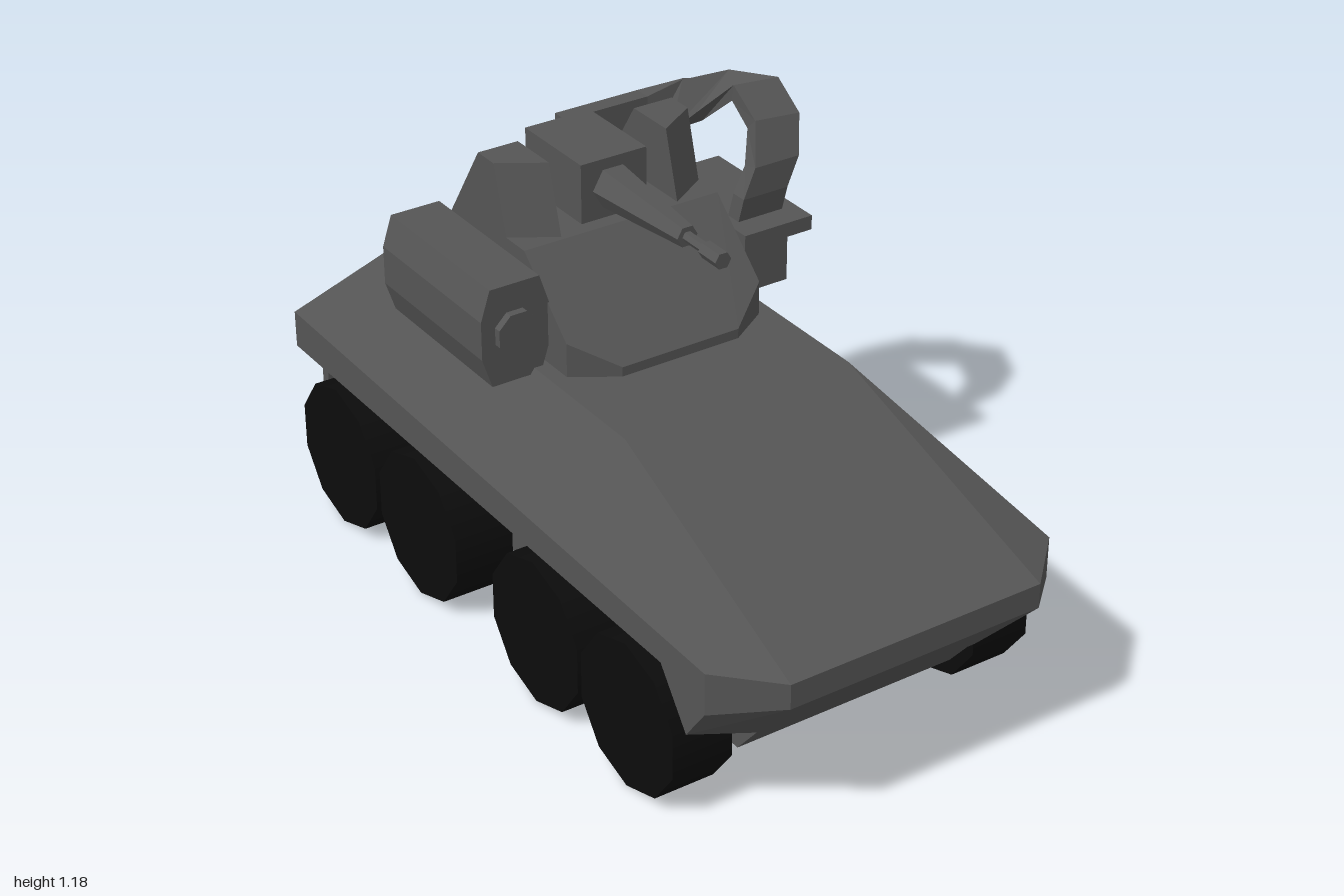
import * as THREE from 'three';
import { ConvexGeometry } from 'three/addons/geometries/ConvexGeometry.js';

const armour = new THREE.MeshStandardMaterial({ color: 0x555555, flatShading: true });
const rubber = new THREE.MeshStandardMaterial({ color: 0x0c0c0c });

export function createModel() {
  const model = new THREE.Group();
  // body parts share a centre line slightly off x = 0
  const body = new THREE.Group();
  body.name = 'body';
  body.position.x = -0.015;
  model.add(body);

  function add(parent, name, geometry, x = 0, y = 0, z = 0, material = armour) {
    const mesh = new THREE.Mesh(geometry, material);
    mesh.name = name;
    mesh.position.set(x, y, z);
    parent.add(mesh);
    return mesh;
  }
  const convex = (points) => new ConvexGeometry(points.map((p) => new THREE.Vector3(...p)));
  // convex block mirrored across the centre line
  const mirrored = (points) => convex(points.flatMap(([x, y, z]) => [[x, y, z], [-x, y, z]]));
  // box from its limits
  function box(parent, name, x0, x1, y0, y1, z0, z1) {
    return add(parent, name, new THREE.BoxGeometry(x1 - x0, y1 - y0, z1 - z0),
      (x0 + x1) / 2, (y0 + y1) / 2, (z0 + z1) / 2);
  }

  // hull
  add(body, 'upperHull', mirrored([
    [0.315, 0.705, 0.31], [0.315, 0.705, -0.79],
    [0.48, 0.485, -1], [0.48, 0.385, -1],
    [0.48, 0.455, 0.87], [0.48, 0.385, 0.87],
    [0.345, 0.45, 1], [0.345, 0.385, 1],
  ]));
  add(body, 'lowerNose', mirrored([
    [0.345, 0.385, 1], [0.48, 0.385, 0.87], [0.48, 0.345, 0.87],
    [0.48, 0.25, 0.8], [0.305, 0.205, 0.835], [0.48, 0.385, 0.7],
  ]));
  add(body, 'lowerHull', mirrored([
    [0.305, 0.385, 0.98], [0.305, 0.11, 0.75],
    [0.305, 0.11, -0.75], [0.305, 0.29, -0.91], [0.305, 0.385, -0.91],
  ]));
  add(body, 'rearLip', mirrored([
    [0.45, 0.385, -0.89], [0.45, 0.29, -0.89],
    [0.45, 0.385, -0.92], [0.45, 0.29, -0.92],
    [0.4, 0.385, -0.965], [0.4, 0.29, -0.965],
  ]));
  add(body, 'axleBracket', mirrored([
    [0.345, 0.385, 0.04], [0.345, 0.135, 0], [0.345, 0.135, -0.135], [0.345, 0.385, -0.18],
  ]));

  // wheels: ten-sided, with a flat at the bottom
  const wheelShape = new THREE.CylinderGeometry(0.197, 0.197, 0.16, 10);
  wheelShape.rotateY(Math.PI / 2).rotateZ(Math.PI / 2);
  for (const side of [-1, 1]) {
    for (const z of [0.597, 0.206, -0.343, -0.742]) {
      add(body, 'wheel', wheelShape, side * 0.425, 0.1875, z, rubber);
    }
  }

  // turret
  add(body, 'turret', mirrored([
    [0.165, 0.7, 0.07], [0.165, 0.73, 0.07],
    [0.275, 0.7, 0], [0.275, 0.794, 0],
    [0.275, 0.96, -0.18], [0.275, 0.96, -0.495],
    [0.275, 0.8, -0.6], [0.275, 0.7, -0.6],
  ]));
  for (const s of [-1, 1]) {
    add(body, 'turretFin', convex([
      [s * 0.275, 0.955, -0.26], [s * 0.165, 0.955, -0.19],
      [s * 0.275, 1.135, -0.31], [s * 0.165, 1.135, -0.24],
      [s * 0.275, 1.135, -0.38], [s * 0.165, 1.135, -0.38],
      [s * 0.275, 0.955, -0.498], [s * 0.165, 0.955, -0.498],
    ]));
  }

  // gun
  box(model, 'gunHousing', -0.105, 0.08, 0.955, 1.115, -0.47, -0.22);
  function barrel(name, rBack, rFront, z0, z1) {
    const shape = new THREE.CylinderGeometry(rFront, rBack, z1 - z0, 6);
    shape.rotateY(Math.PI / 2).rotateX(Math.PI / 2);
    add(model, name, shape, -0.015, 1.037, (z0 + z1) / 2);
  }
  barrel('barrelSleeve', 0.057, 0.028, -0.22, 0.095);
  barrel('barrel', 0.014, 0.014, 0.09, 0.19);
  barrel('muzzle', 0.022, 0.022, 0.17, 0.24);

  // launcher pod on the right
  const outline = [[0.067, 0.128], [0.0925, 0.05], [0.0925, -0.05], [0.067, -0.128]];
  const podPoints = [-0.54, -0.08].flatMap((z) =>
    outline.flatMap(([x, y]) => [[x, y, z], [-x, y, z]]));
  add(model, 'launcherPod', convex(podPoints), -0.378, 0.818, 0);
  const cap = new THREE.CylinderGeometry(0.058, 0.058, 0.04, 8);
  cap.rotateY(Math.PI / 8).rotateX(Math.PI / 2);
  add(model, 'launcherCap', cap, -0.38, 0.822, -0.08);

  // ammunition box on the left
  box(model, 'ammoBox', 0.287, 0.437, 0.69, 0.855, -0.42, -0.13);
  box(model, 'ammoLid', 0.263, 0.462, 0.85, 0.888, -0.466, -0.065);

  // twisting feed chute: centre, half width vector, half thickness vector
  const sections = [
    [[0.01, 1.04, -0.495], [0, 0.065, 0], [0, 0, 0.023]],
    [[0.25, 1.04, -0.495], [0, 0.065, 0], [0, 0, 0.023]],
    [[0.33, 1.065, -0.46], [0.025, 0.062, -0.01], [-0.014, 0.008, 0.018]],
    [[0.395, 1.105, -0.385], [0.055, 0.04, -0.01], [-0.014, 0.018, 0.008]],
    [[0.447, 1.145, -0.29], [0.067, -0.006, 0], [0, 0.022, 0.003]],
    [[0.435, 1.1, -0.195], [0.066, -0.006, 0], [0, 0.016, 0.016]],
    [[0.4, 1.02, -0.15], [0.065, 0, 0], [0, 0.005, 0.022]],
    [[0.365, 0.95, -0.147], [0.065, 0, 0], [0, 0, 0.022]],
    [[0.355, 0.87, -0.16], [0.065, 0, 0], [0, 0, 0.022]],
  ];
  const corners = [[1, 1], [-1, 1], [-1, -1], [1, -1]];
  const positions = sections.flatMap(([c, w, t]) =>
    corners.flatMap(([a, b]) => c.map((v, i) => v + a * w[i] + b * t[i])));
  const index = [0, 1, 2, 0, 2, 3];
  for (let i = 0; i < sections.length - 1; i++) {
    for (let k = 0; k < 4; k++) {
      const a = i * 4 + k, b = i * 4 + (k + 1) % 4;
      index.push(a, a + 4, b, b, a + 4, b + 4);
    }
  }
  const chute = new THREE.BufferGeometry();
  chute.setAttribute('position', new THREE.Float32BufferAttribute(positions, 3));
  chute.setIndex(index);
  const chuteShape = chute.toNonIndexed();
  chuteShape.computeVertexNormals();
  const chuteMaterial = armour.clone();
  chuteMaterial.side = THREE.DoubleSide;
  add(model, 'feedChute', chuteShape, 0, 0, 0, chuteMaterial);

  return model;
}
